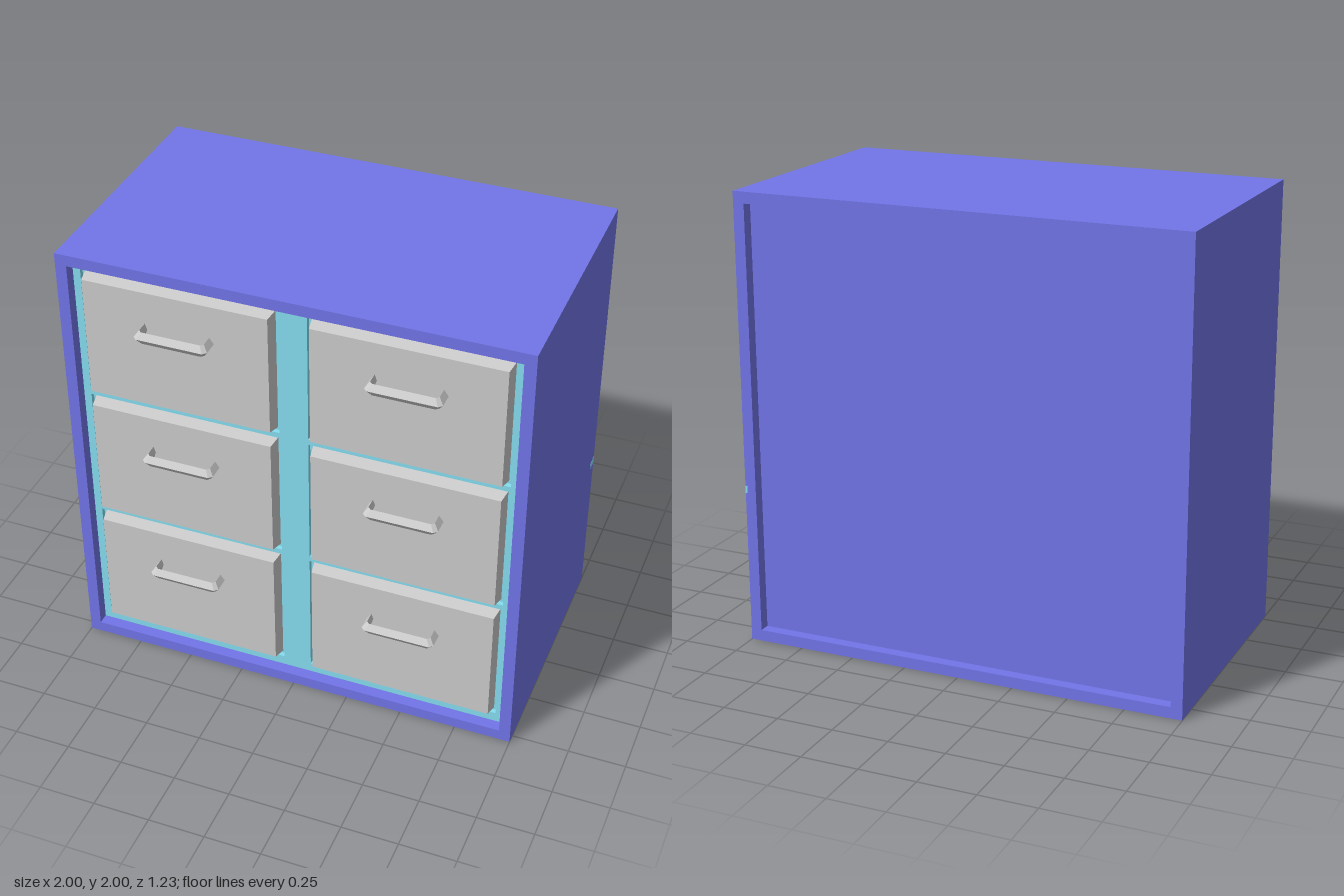
import * as THREE from 'three';

const blue = new THREE.MeshStandardMaterial({ color: 0x7275e8 });
const teal = new THREE.MeshStandardMaterial({ color: 0x86def0 });
const grey = new THREE.MeshStandardMaterial({ color: 0xcccccc, flatShading: true });

const COLUMNS = [-0.49, 0.49];
const ROWS = [0.391, 1.007, 1.623];
const W = 0.83, H = 0.567;

function add(parent, name, geometry, material, x = 0, y = 0, z = 0) {
  const mesh = new THREE.Mesh(geometry, material);
  mesh.name = name;
  mesh.position.set(x, y, z);
  parent.add(mesh);
  return mesh;
}

function rect(cx, cy, w, h, Type = THREE.Path) {
  const x = w / 2, y = h / 2;
  return new Type([[-x, -y], [x, -y], [x, y], [-x, y]].map(([a, b]) => new THREE.Vector2(cx + a, cy + b)));
}

function plate(w, h, depth, holes) {
  const shape = rect(0, 1, w, h, THREE.Shape);
  shape.holes.push(...holes);
  return new THREE.ExtrudeGeometry(shape, { depth, bevelEnabled: false });
}

// Box whose front edge is drawn in slightly on all four sides
function drawerGeometry(depth, inset) {
  const g = new THREE.BoxGeometry(W, H, depth);
  const p = g.attributes.position;
  for (let i = 0; i < p.count; i++) {
    if (p.getZ(i) > 0) p.setXY(i, p.getX(i) * (1 - 2 * inset / W), p.getY(i) * (1 - 2 * inset / H));
  }
  g.computeVertexNormals();
  return g;
}

// Bracket handle: a ridged four-sided section swept round two chamfered corners
function handleGeometry() {
  const half = 0.16, front = 0.612, back = 0.5, c = 0.016;
  const section = [[0, 0], [0.019, 0.027], [0.028, 0], [0.019, -0.027]]; // inset, height
  const pos = [], index = [];
  for (let s = 0; s < 6; s++) {
    for (const [d, y] of section) {
      const k = c + d * 0.5;
      const [x, z] = [[half - d, back], [half - d, front - k - d * 0.3], [half - k - d * 0.3, front - d]][s < 3 ? s : 5 - s];
      pos.push(s < 3 ? -x : x, y, z);
    }
  }
  for (let s = 0; s < 5; s++) {
    for (let i = 0; i < 4; i++) {
      const a = s * 4 + i, b = s * 4 + (i + 1) % 4;
      index.push(a, a + 4, b, b, a + 4, b + 4);
    }
  }
  const g = new THREE.BufferGeometry();
  g.setAttribute('position', new THREE.Float32BufferAttribute(pos, 3));
  g.setIndex(index);
  const flat = g.toNonIndexed();
  flat.computeVertexNormals();
  return flat;
}

export function createModel() {
  const group = new THREE.Group();
  group.name = 'drawerCabinet';

  // Outer case, open front and back, with a recessed back panel
  add(group, 'case', plate(2, 2, 1.155, [rect(0, 1, 1.9, 1.9)]), blue, 0, 0, -0.615);
  add(group, 'backPanel', new THREE.BoxGeometry(1.9, 1.9, 0.03), blue, 0, 1, -0.55);
  add(group, 'underside', new THREE.BoxGeometry(1.996, 0.01, 1.09), teal, 0, 0.004, -0.05);
  add(group, 'sideTab', new THREE.BoxGeometry(0.01, 0.035, 0.05), teal, 0.996, 0.7, -0.59);

  // Face frame with six openings, closed behind
  const openings = COLUMNS.flatMap((x) => ROWS.map((y) => rect(x, y, W + 0.024, H + 0.024)));
  add(group, 'faceFrame', plate(1.9, 1.9, 0.02, openings), teal, 0, 0, 0.47);
  add(group, 'faceBacking', new THREE.BoxGeometry(1.9, 1.9, 0.02), teal, 0, 1, 0.46);

  // Drawers and their handles
  const drawerGeo = drawerGeometry(0.07, 0.012);
  const handleGeo = handleGeometry();
  const handleMat = grey.clone();
  handleMat.side = THREE.DoubleSide;
  for (const x of COLUMNS) {
    for (const y of ROWS) {
      const drawer = new THREE.Group();
      drawer.name = 'drawer';
      drawer.position.set(x, y, 0);
      add(drawer, 'drawerFront', drawerGeo, grey, 0, 0, 0.495);
      add(drawer, 'drawerHandle', handleGeo, handleMat, 0.01, 0.1, 0);
      group.add(drawer);
    }
  }
  return group;
}
